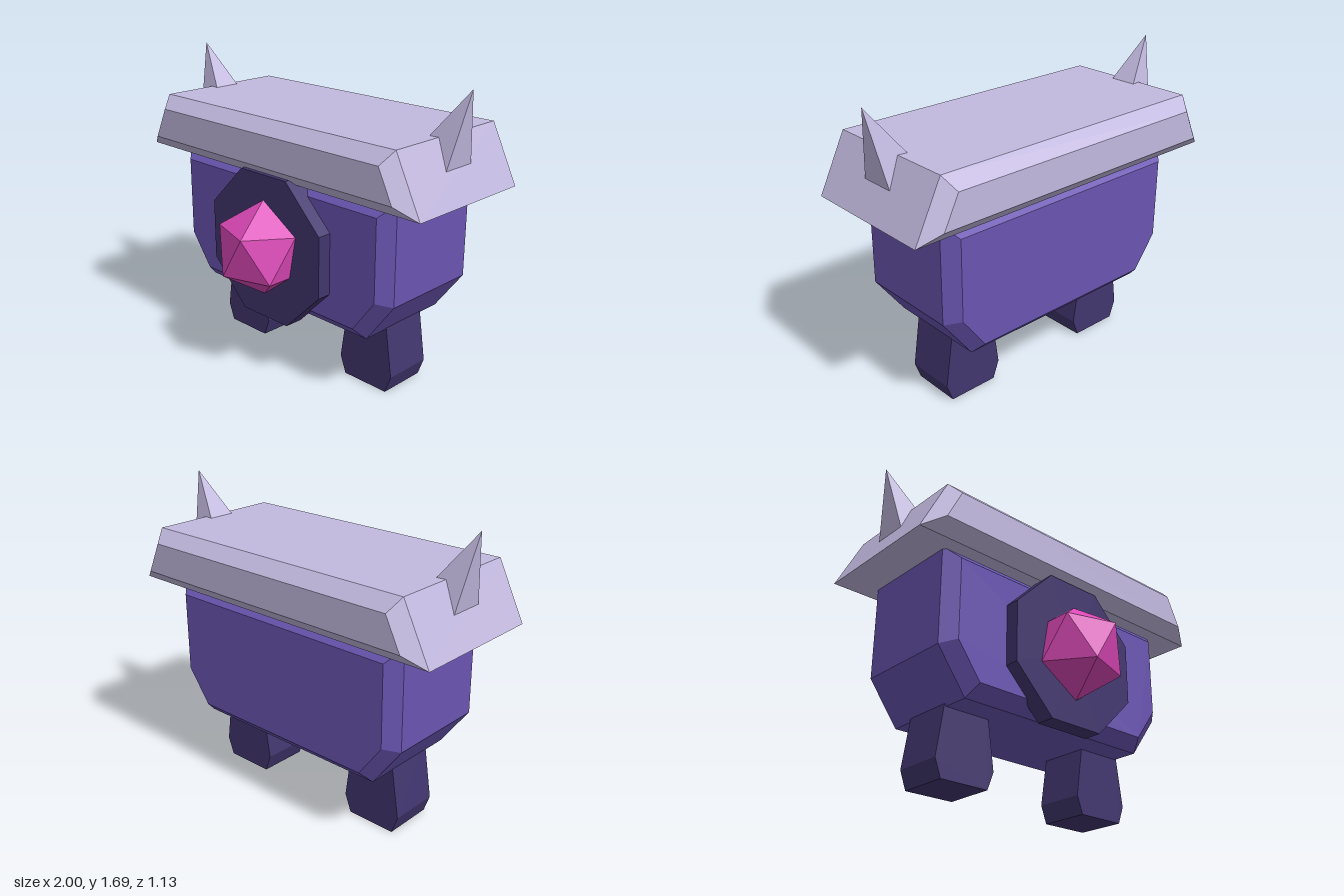
import * as THREE from 'three';
import { ConvexGeometry } from 'three/addons/geometries/ConvexGeometry.js';

const MID_Z = -0.105; // middle plane of body, lid, legs and horns

const material = (name, color) => {
  const m = new THREE.MeshStandardMaterial({ color, flatShading: true });
  m.name = name;
  return m;
};

// Mirror a right-hand profile (bottom to top) into a closed counter-clockwise outline
const mirrored = (half) => [...half, ...half.map(([x, y]) => [-x, y]).reverse()];

// Move every side of a convex outline inwards by d
function inset(outline, d) {
  const n = outline.length;
  const normal = (a, b) => new THREE.Vector2(a[1] - b[1], b[0] - a[0]).normalize();
  return outline.map((p, i) => {
    const n1 = normal(outline[(i + n - 1) % n], p);
    const n2 = normal(p, outline[(i + 1) % n]);
    const k = d / (1 + n1.dot(n2));
    return [p[0] + (n1.x + n2.x) * k, p[1] + (n1.y + n2.y) * k];
  });
}

// Prism along z with chamfered front and back rims, lofted through outline rings
function chamferedPrism(outline, halfDepth, bevel) {
  const inner = inset(outline, bevel);
  const n = outline.length;
  const rings = bevel > 0
    ? [[inner, halfDepth], [outline, halfDepth - bevel], [outline, bevel - halfDepth], [inner, -halfDepth]]
    : [[outline, halfDepth], [outline, -halfDepth]];
  const pos = [];
  const index = [];
  for (const [ring, z] of rings) for (const [x, y] of ring) pos.push(x, y, z + MID_Z);
  for (let r = 0; r < rings.length - 1; r++) {
    for (let i = 0; i < n; i++) {
      const a = r * n + i, b = r * n + (i + 1) % n;
      index.push(a, a + n, b + n, a, b + n, b);
    }
  }
  const back = (rings.length - 1) * n;
  for (let i = 1; i < n - 1; i++) {
    index.push(0, i, i + 1, back, back + i + 1, back + i);
  }
  const g = new THREE.BufferGeometry();
  g.setAttribute('position', new THREE.Float32BufferAttribute(pos, 3));
  g.setIndex(index);
  const flat = g.toNonIndexed();
  flat.computeVertexNormals();
  return flat;
}

export function createModel() {
  const purple = material('purple', 0x6a55b2);
  const darkPurple = material('dark purple', 0x42366f);
  const lavender = material('pale lavender', 0xc2b9df);
  const pink = material('pink', 0xdc48b8);

  const model = new THREE.Group();
  model.name = 'hornedChest';
  const add = (name, geometry, mat) => {
    const mesh = new THREE.Mesh(geometry, mat);
    mesh.name = name;
    model.add(mesh);
    return mesh;
  };

  // Body with slanted lower corners
  const bodyOutline = mirrored([[0.61, 0.37], [0.785, 0.605], [0.785, 1.15]]);
  add('body', chamferedPrism(bodyOutline, 0.36, 0.07), purple);

  // Overhanging lid
  const lidOutline = mirrored([[1, 1.135], [0.845, 1.45]]);
  add('lid', chamferedPrism(lidOutline, 0.46, 0.07), lavender);

  // Legs and horns, one on each side
  for (const [side, s] of [['left', 1], ['right', -1]]) {
    const legOutline = mirrored([[0.145, 0], [0.182, 0.1], [0.13, 0.45]]);
    const leg = add(side + 'Leg', chamferedPrism(legOutline, 0.143, 0), darkPurple);
    leg.position.x = s * 0.48;

    // Four-sided spike, its base sunk into the sloping end of the lid
    const points = [new THREE.Vector3(s * 0.975, 1.69, MID_Z)];
    for (const dz of [-0.1, 0.1]) {
      points.push(new THREE.Vector3(s * 0.919, 1.3, MID_Z + dz));
      points.push(new THREE.Vector3(s * 0.744, 1.384, MID_Z + dz));
    }
    add(side + 'Horn', new ConvexGeometry(points), lavender);
  }

  // Octagonal mount on the front
  const mount = new THREE.CylinderGeometry(0.444, 0.444, 0.105, 8);
  mount.rotateY(Math.PI / 8).rotateX(Math.PI / 2);
  add('gemMount', mount, darkPurple).position.set(0, 0.75, 0.2825);

  // Twenty-sided gem standing on a point
  const r = 0.27;
  const gemPoints = [new THREE.Vector3(0, r, 0), new THREE.Vector3(0, -r, 0)];
  for (let k = 0; k < 10; k++) {
    const a = (k * Math.PI) / 5;
    const ring = (2 * r) / Math.sqrt(5);
    const y = (k % 2 ? -r : r) / Math.sqrt(5);
    gemPoints.push(new THREE.Vector3(ring * Math.cos(a), y, ring * Math.sin(a)));
  }
  add('gem', new ConvexGeometry(gemPoints), pink).position.set(0, 0.75, 0.335);

  return model;
}
